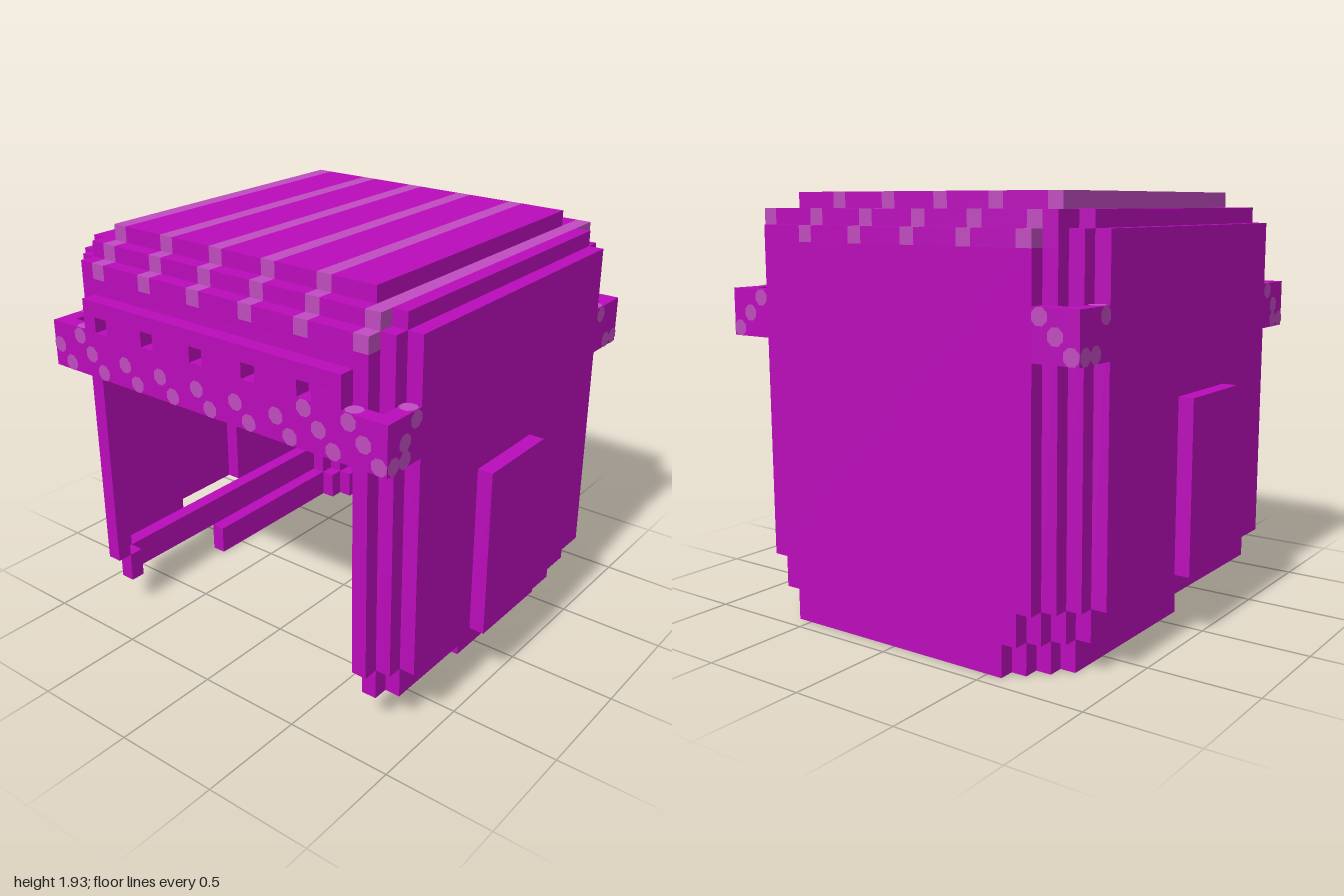
import * as THREE from 'three';

const U = 1 / 14; // one block of the helmet grid

export function createModel() {
  const model = new THREE.Group();
  model.name = 'blockHelmet';
  const purple = new THREE.MeshStandardMaterial({ color: 0xba0cba });
  purple.name = 'purple';
  const lilac = new THREE.MeshStandardMaterial({ color: 0xbf4cbf });
  lilac.name = 'lilac';

  // Box between two grid corners
  function box(name, x0, x1, y0, y1, z0, z1, mat = purple) {
    const geo = new THREE.BoxGeometry((x1 - x0) * U, (y1 - y0) * U, (z1 - z0) * U);
    const mesh = new THREE.Mesh(geo, mat);
    mesh.position.set((x0 + x1) / 2 * U, (y0 + y1) / 2 * U, (z0 + z1) / 2 * U);
    mesh.name = name;
    model.add(mesh);
  }
  // The same box on both sides
  function pair(name, x0, x1, ...rest) {
    box(name, x0, x1, ...rest);
    box(name, -x1, -x0, ...rest);
  }
  // Box crossed by a lilac stripe in every fourth column
  function striped(name, x0, x1, y0, y1, z0, z1) {
    let x = x0;
    for (let s = -10; s <= 10; s += 4) {
      if (s < x0 || s >= x1) continue;
      if (s > x) box(name, x, s, y0, y1, z0, z1);
      box(name + 'Stripe', s, s + 1, y0, y1, z0, z1, lilac);
      x = s + 1;
    }
    if (x < x1) box(name, x, x1, y0, y1, z0, z1);
  }

  // Roof plate and its lower rims
  striped('roof', -10, 11 - 1, 26, 27, -10, 10);
  striped('frontRim', -11, 11, 25, 26, 10, 11);
  striped('backRim', -11, 11, 25, 26, -12, -10);
  box('sideRimStripe', 10, 11, 25, 26, -10, 10, lilac);
  box('sideRim', 11, 12, 25, 26, -10, 10);
  box('sideRim', -12, -10, 25, 26, -10, 10);

  // Forehead and back of the shell
  box('forehead', -10, 10, 23, 24, 11, 12);
  striped('foreheadTop', -10, 10, 24, 25, 11, 12);
  box('backWall', -10, 10, 4, 24, -13, -12);
  striped('backWallTop', -10, 10, 24, 25, -13, -12);
  box('backLower', -9, 9, 2, 4, -13, -12);
  box('backFoot', -8, 8, 0, 2, -13, -12);

  // Side walls, open behind the ear pads
  pair('sideWallBack', 12, 13, 4, 25, -10, -2);
  pair('sideWallFront', 12, 13, 4, 25, 4, 10);
  pair('sideWallTop', 12, 13, 15, 25, -2, 4);
  pair('earPad', 13, 14, 4, 15, -2, 4);
  for (const [z0, z1] of [[-2.02, -2], [4, 4.02]]) pair('earPadLip', 12, 13, 4, 15, z0, z1);
  pair('sideLower', 11, 12, 2, 4, -10, 10);
  pair('sideFoot', 10, 11, 0, 2, -10, 2);

  // Stepped corner columns
  for (const z of [-1, 1]) {
    const span = (a, b) => (z > 0 ? [a, b] : [-b, -a]);
    pair('cornerColumn', 11, 12, 4, 25, ...span(10, 11));
    pair('cornerColumn', 10, 11, 4, 24, ...span(11, 12));
    box('cornerColumnTop', 10, 11, 24, 25, ...span(11, 12), lilac);
    box('cornerColumnTop', -11, -10, 24, 25, ...span(11, 12));
    pair('lowerCorner', 10, 11, 2, 4, ...span(10, 11));
    // Band wrapping round the corner
    pair('bandCorner', 12, 13, 18, 21, ...span(10, 13));
    pair('bandCorner', 10, 12, 18, 21, ...span(12, 13));
  }
  pair('lowerCorner', 9, 10, 2, 4, -12, -11);
  pair('footCorner', 9, 10, 0, 2, -11, -10);
  pair('footCorner', 8, 9, 0, 2, -12, -11);

  // Brow band with a row of square openings
  box('browBand', -10, 10, 18, 21, 12, 13);
  box('browTop', -10, 10, 22, 23, 12, 13);
  let start = -10;
  for (let x = -9; x <= 7; x += 4) {
    box('browPost', start, x, 21, 22, 12, 13);
    start = x + 1;
  }
  box('browPost', start, 10, 21, 22, 12, 13);

  // Lilac spots, one grid cell wide
  const spotGeo = new THREE.CircleGeometry(0.54 * U, 8, Math.PI / 8);
  function spot(x, y, z, rx, ry) {
    const mesh = new THREE.Mesh(spotGeo, lilac);
    mesh.position.set(x * U, y * U, z * U);
    mesh.rotation.set(rx, ry, 0);
    mesh.name = 'bandSpot';
    model.add(mesh);
  }
  const off = 13.04;
  for (let x = -13; x <= 11; x += 3) {
    spot(x + 0.5, 19.5, off, 0, 0);
    spot(x + 1.5, 18.5, off, 0, 0);
  }
  for (const x of [-10.5, 7.5, 10.5]) spot(x, 20.5, off, 0, 0);
  for (const s of [-1, 1]) {
    const turn = s * Math.PI / 2;
    for (const [z, y] of [[12.5, 18.5], [11.5, 18.5], [11.5, 19.5], [10.5, 20.5],
      [-10.5, 20.5], [-11.5, 18.5], [-12.5, 18.5]]) spot(s * off, y, z, 0, turn);
    for (const [x, y] of [[12.5, 18.5], [11.5, 19.5], [10.5, 20.5]]) spot(s * x, y, -off, 0, Math.PI);
    // Spots on the band's top ledge
    spot(s * 12.5, 21.04, 10.5, -Math.PI / 2, 0);
    spot(s * 12.5, 21.04, -10.5, -Math.PI / 2, 0);
    spot(s * 10.5, 21.04, 12.5, -Math.PI / 2, 0);
  }
  return model;
}
